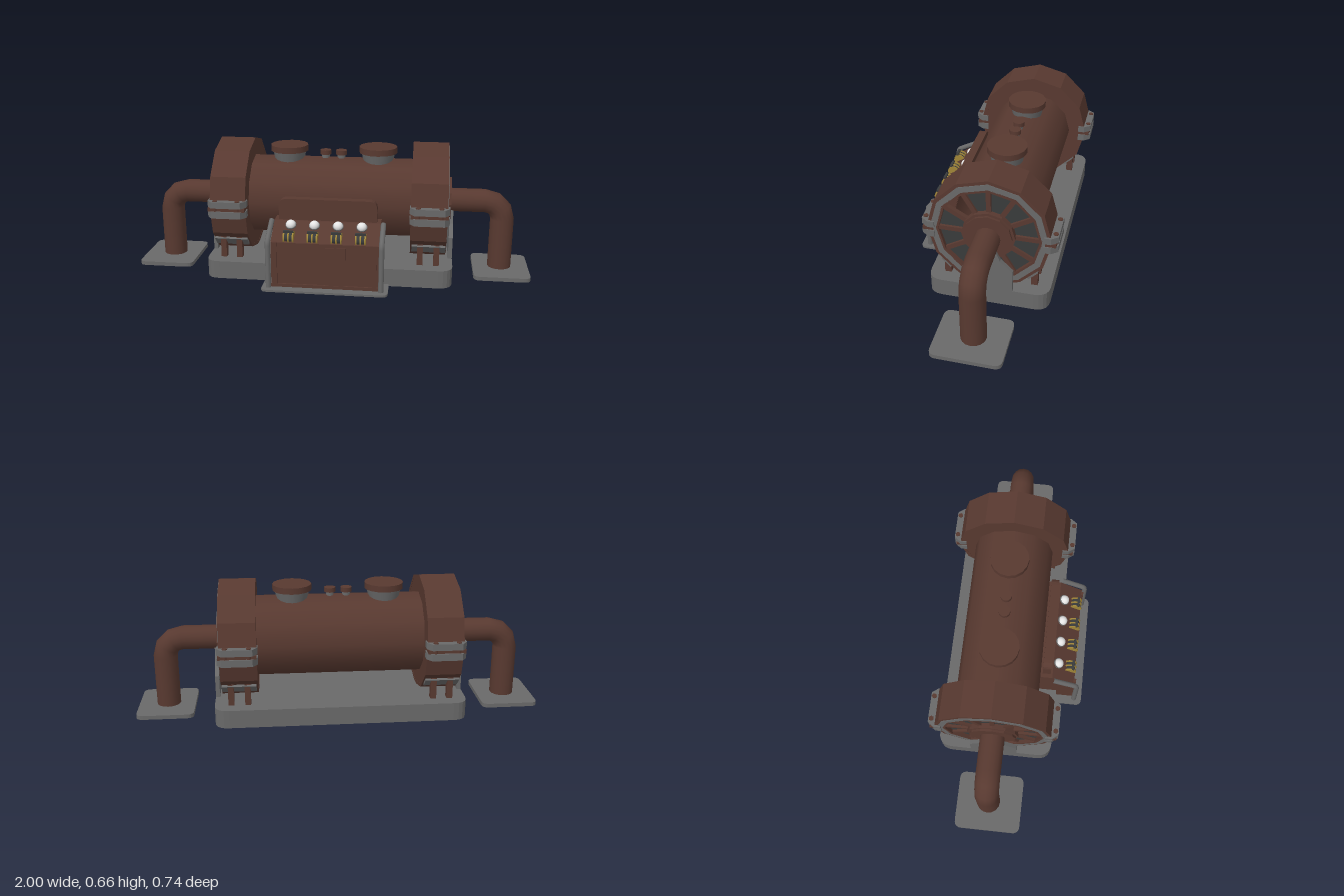
import * as THREE from 'three';

const mat = (name, color, extra = {}) => {
  const m = new THREE.MeshStandardMaterial({ color, ...extra });
  m.name = name;
  return m;
};

export function createModel() {
  const model = new THREE.Group();
  model.name = 'generator';
  const copper = mat('copper brown', 0x583930, { side: THREE.DoubleSide });
  const steel = mat('steel grey', 0x696969);
  const dark = mat('dark panel', 0x393b3b, { side: THREE.DoubleSide });
  const brass = mat('brass', 0xa08538);
  const white = mat('white lamp', 0xe6e6e6);
  const AY = 0.37, AZ = -0.06; // axis of the tank

  const add = (name, geo, material, x = 0, y = 0, z = 0, parent = model) => {
    const m = new THREE.Mesh(geo, material);
    m.name = name;
    m.position.set(x, y, z);
    parent.add(m);
    return m;
  };
  const box = (w, h, d) => new THREE.BoxGeometry(w, h, d);
  const extrude = (shape, depth) =>
    new THREE.ExtrudeGeometry(shape, { depth, bevelEnabled: false, curveSegments: 5 });
  const polygon = pts => new THREE.Shape(pts.map(p => new THREE.Vector2(...p)));
  // Profile drawn as (z, y) and extruded along x, centred on x = 0
  const alongX = (shape, width) =>
    extrude(shape, width).translate(0, 0, -width / 2).rotateY(-Math.PI / 2);
  // Plan drawn as (x, -z) and extruded upwards from y = 0
  const upwards = (shape, height) => extrude(shape, height).rotateX(-Math.PI / 2);

  const roundRect = (w, h, r) => {
    const s = new THREE.Shape(), a = w / 2, b = h / 2;
    s.moveTo(-a + r, -b);
    s.lineTo(a - r, -b);
    s.quadraticCurveTo(a, -b, a, -b + r);
    s.lineTo(a, b - r);
    s.quadraticCurveTo(a, b, a - r, b);
    s.lineTo(-a + r, b);
    s.quadraticCurveTo(-a, b, -a, b - r);
    s.lineTo(-a, -b + r);
    s.quadraticCurveTo(-a, -b, -a + r, -b);
    return s;
  };
  const ngon = r => Array.from({ length: 12 }, (_, i) =>
    [r * Math.cos(i * Math.PI / 6), r * Math.sin(i * Math.PI / 6)]);
  // Twelve-sided ring or disc around the x axis
  const ring = (outer, inner, width) => {
    const s = polygon(ngon(outer));
    if (inner) s.holes.push(polygon(ngon(inner)));
    return alongX(s, width);
  };

  // Base: hollow slab with open underside
  const wall = roundRect(1.22, 0.575, 0.07);
  wall.holes.push(roundRect(1.2, 0.555, 0.062));
  add('baseWall', upwards(wall, 0.085), steel, 0, 0, -0.0575);
  add('baseTop', upwards(roundRect(1.22, 0.575, 0.07), 0.006), steel, 0, 0.084, -0.0575);

  // Tank
  add('tank', new THREE.CylinderGeometry(0.2, 0.2, 0.84, 12, 1, true).rotateZ(Math.PI / 2),
    copper, 0, AY, AZ);

  // Hatches and small caps on top
  for (const x of [-0.225, 0.225]) {
    add('hatchNeck', new THREE.CylinderGeometry(0.085, 0.07, 0.07, 16), steel, x, 0.565, -0.063);
    add('hatchLid', new THREE.CylinderGeometry(0.095, 0.095, 0.03, 16), copper, x, 0.613, -0.063);
  }
  for (const x of [-0.04, 0.04]) {
    add('capNeck', new THREE.CylinderGeometry(0.02, 0.02, 0.05, 10), steel, x, 0.57, AZ);
    add('cap', new THREE.CylinderGeometry(0.028, 0.028, 0.022, 12), copper, x, 0.594, AZ);
  }

  // Clamp plan: wide against the drum, narrower outside
  const clampShape = polygon([[-0.095, -0.01], [0.095, -0.01], [0.095, 0.022],
    [0.072, 0.053], [-0.072, 0.053], [-0.095, 0.022]]);
  const clampGeo = h => extrude(clampShape, h).translate(0, 0, -h / 2).rotateX(Math.PI / 2);

  const sector = k => {
    const p = (r, i) => [r * Math.cos(i * Math.PI / 6), r * Math.sin(i * Math.PI / 6)];
    return polygon([p(0.11, k), p(0.24, k), p(0.24, k + 1), p(0.11, k + 1)]);
  };

  for (const s of [-1, 1]) {
    const end = new THREE.Group();
    end.name = s > 0 ? 'leftEnd' : 'rightEnd';
    end.position.set(0, AY, AZ);
    model.add(end);
    const part = (name, geo, m, x) => add(name, geo, m, s * x, 0, 0, end);

    // Drum with rims, spokes and panels (one panel left open)
    part('drumShell', ring(0.288, 0.27, 0.175), copper, 0.4875);
    part('drumBack', ring(0.28, 0.198, 0.012), copper, 0.407);
    part('steelRim', ring(0.272, 0.243, 0.03), steel, 0.563);
    part('innerRim', ring(0.246, 0.232, 0.04), copper, 0.558);
    part('hub', ring(0.124, 0, 0.035), copper, 0.567);
    part('hubCap', ring(0.112, 0, 0.02), copper, 0.585);
    for (let i = 0; i < 12; i++) {
      const spoke = part('spoke', box(0.022, 0.13, 0.022).translate(0, 0.175, 0), copper, 0.56);
      spoke.rotation.x = i * Math.PI / 6;
      if (i !== 1) part('panel', alongX(sector(i), 0.006), dark, 0.556);
    }

    // Side clamps, lower clamps and legs, front and back
    for (const f of [-1, 1]) {
      const side = new THREE.Group();
      side.name = 'clampSet';
      side.rotation.y = f > 0 ? 0 : Math.PI;
      side.position.set(s * 0.49, 0, 0);
      end.add(side);
      add('upperClamp', clampGeo(0.032), steel, 0, 0.018, 0.26, side);
      add('lowerClamp', clampGeo(0.034), steel, 0, -0.032, 0.26, side);
      add('clampGasket', box(0.18, 0.018, 0.05), copper, 0, -0.007, 0.28, side);
      for (const x of [-0.055, 0.055])
        add('clampBolt', new THREE.CylinderGeometry(0.012, 0.012, 0.09, 8), copper, x, -0.007, 0.298, side);
      const low = add('footClamp', box(0.165, 0.06, 0.03), steel, 0, -0.193, 0.195, side);
      low.rotation.x = Math.PI / 4;
      for (const x of [-0.04, 0.04])
        add('leg', box(0.028, 0.12, 0.032), copper, x, -0.233, 0.206, side);
    }

    // Saddle under the drum and end stand
    add('saddle', box(0.15, 0.07, 0.1), copper, s * 0.49, 0.11, AZ);
    add('endStand', alongX(polygon([[-0.117, 0.088], [0.117, 0.088], [0.117, 0.2],
      [0.06, 0.256], [0.03, 0.33], [-0.03, 0.33], [-0.06, 0.256], [-0.117, 0.2]]), 0.02),
      steel, s * 0.6, 0, AZ);

    // Pipe with elbow, standing on a pad
    const pipe = new THREE.Group();
    pipe.name = 'pipe';
    pipe.position.z = AZ;
    pipe.rotation.y = s > 0 ? 0 : Math.PI;
    model.add(pipe);
    const tube = len => new THREE.CylinderGeometry(0.059, 0.059, len, 16, 1, true);
    add('pipeAcross', tube(0.195).rotateZ(Math.PI / 2), copper, 0.6675, 0.365, 0, pipe);
    add('pipeElbow', new THREE.TorusGeometry(0.09, 0.059, 16, 3, Math.PI / 2), copper, 0.765, 0.275, 0, pipe);
    add('pipeDown', tube(0.26), copper, 0.855, 0.145, 0, pipe);
    add('pipePad', upwards(roundRect(0.28, 0.327, 0.035), 0.02), steel, s * 0.86, 0, -0.055);
  }

  // Control console
  add('consoleBody', alongX(polygon([[0.13, 0.002], [0.314, 0.002], [0.314, 0.235],
    [0.2, 0.31], [0.13, 0.31]]), 0.52), copper);
  add('backboard', extrude(roundRect(0.48, 0.25, 0.04), 0.04), copper, 0, 0.29, 0.15);
  add('consoleFoot', upwards(roundRect(0.61, 0.165, 0.03), 0.01), steel, 0, 0, 0.285);
  add('door', box(0.1, 0.2, 0.006), copper, 0.052, 0.118, 0.316);
  add('kickPlate', box(0.52, 0.016, 0.012), copper, 0, 0.018, 0.316);
  for (const s of [-1, 1]) {
    const path = new THREE.CurvePath();
    const v = (y, z) => new THREE.Vector3(s * 0.272, y, z);
    path.add(new THREE.LineCurve3(v(0.005, 0.328), v(0.225, 0.328)));
    path.add(new THREE.QuadraticBezierCurve3(v(0.225, 0.328), v(0.245, 0.328), v(0.255, 0.31)));
    path.add(new THREE.LineCurve3(v(0.255, 0.31), v(0.31, 0.205)));
    add('consoleRail', new THREE.TubeGeometry(path, 24, 0.013, 8), steel);
    add('frontPost', box(0.02, 0.235, 0.014), copper, s * 0.24, 0.12, 0.316);
  }

  // Four lever switches, each with a lamp, on the sloping desk
  const slope = Math.atan2(0.114, 0.075);
  for (const x of [-0.175, -0.06, 0.055, 0.17]) {
    const ctl = new THREE.Group();
    ctl.name = 'leverSwitch';
    ctl.position.x = x;
    model.add(ctl);
    const disc = (w, r) => new THREE.CylinderGeometry(r, r, w, 14).rotateZ(Math.PI / 2);
    for (const dx of [-0.022, 0, 0.022])
      add('brassArc', disc(0.007, 0.03), brass, dx, 0.255, 0.288, ctl);
    add('leverDrum', disc(0.046, 0.024), dark, 0, 0.255, 0.288, ctl);
    add('leverHandle', box(0.05, 0.01, 0.012), dark, 0, 0.287, 0.3, ctl);
    const lamp = new THREE.Group();
    lamp.name = 'lamp';
    lamp.position.set(0, 0.294, 0.224);
    lamp.rotation.x = Math.PI / 2 - slope;
    ctl.add(lamp);
    add('lampRing', new THREE.CylinderGeometry(0.027, 0.027, 0.012, 14), steel, 0, 0, 0, lamp);
    add('lampDome', new THREE.SphereGeometry(0.024, 14, 6, 0, Math.PI * 2, 0, Math.PI / 2), white, 0, 0.004, 0, lamp);
  }
  return model;
}
